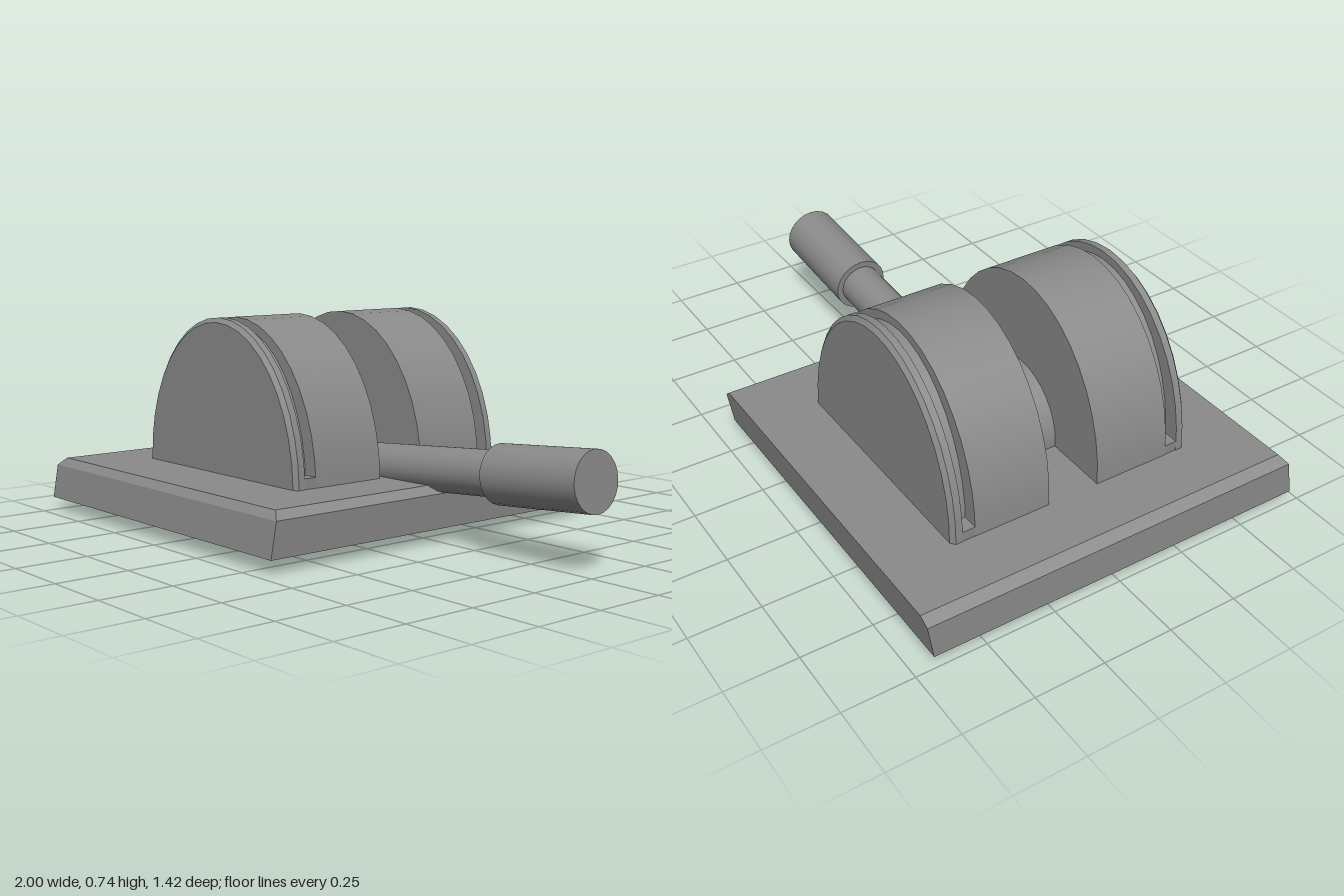
import * as THREE from 'three';
import { toCreasedNormals } from 'three/addons/utils/BufferGeometryUtils.js';

const CX = -0.323, CZ = -0.018, TOP = 0.195;

// Skins a list of equal-length point rings; closed joins each ring's end to its start
function loft(rings, closed) {
  const n = rings[0].length, index = [];
  for (let i = 0; i < rings.length - 1; i++) {
    for (let j = 0; j < (closed ? n : n - 1); j++) {
      const a = i * n + j, b = i * n + (j + 1) % n;
      index.push(a, a + n, b, b, a + n, b + n);
    }
  }
  const g = new THREE.BufferGeometry();
  g.setAttribute('position', new THREE.Float32BufferAttribute(rings.flat(2), 3));
  g.setIndex(index);
  return toCreasedNormals(g, 0.3);
}

export function createModel() {
  const group = new THREE.Group();
  const solid = new THREE.MeshStandardMaterial({ color: 0x8a8a8a });
  const shell = new THREE.MeshStandardMaterial({ color: 0x8a8a8a, side: THREE.DoubleSide });
  const add = (name, geometry, material = solid, parent = group) => {
    const mesh = new THREE.Mesh(geometry, material);
    mesh.name = name;
    parent.add(mesh);
    return mesh;
  };

  // Base skirt: slanted walls, bevelled above on front and sides, open underneath
  const rect = (x0, x1, z0, z1, y) => [[x0, y, z1], [x0, y, z0], [x1, y, z0], [x1, y, z1]];
  add('baseSkirt', loft([
    rect(-0.962, 0.317, -0.709, 0.67, TOP),
    rect(-0.995, 0.35, -0.705, 0.692, 0.168),
    rect(-1, 0.345, -0.686, 0.71, 0.048),
  ], true), shell);

  // Base top sheet with an opening below each drum
  const outline = (Path, x0, x1, z0, z1) => new Path([
    [x0, -z1], [x1, -z1], [x1, -z0], [x0, -z0],
  ].map(([x, y]) => new THREE.Vector2(x, y)));
  const sheet = outline(THREE.Shape, -0.962, 0.317, -0.709, 0.67);
  sheet.holes.push(
    outline(THREE.Path, CX - 0.42, CX + 0.42, CZ + 0.1, CZ + 0.44),
    outline(THREE.Path, CX - 0.42, CX + 0.42, CZ - 0.44, CZ - 0.1),
  );
  add('baseTop', new THREE.ShapeGeometry(sheet).rotateX(-Math.PI / 2).translate(0, TOP, 0), shell);

  // Half-elliptical hollow drums: chamfered rim, groove, broad body ([z, rx, ry] sections)
  const sections = [
    [0.455, 0, 0], [0.455, 0.424, 0.524], [0.442, 0.44, 0.54], [0.417, 0.44, 0.54],
    [0.417, 0.385, 0.512], [0.372, 0.385, 0.512], [0.372, 0.44, 0.54],
    [0.094, 0.44, 0.54], [0.094, 0, 0],
  ];
  const drum = loft(sections.map(([z, rx, ry]) =>
    Array.from({ length: 21 }, (_, j) => {
      const t = j / 20 * Math.PI;
      return [rx * Math.cos(t), ry * Math.sin(t), z];
    })), false);
  for (const [side, turn] of [['front', 0], ['back', Math.PI]]) {
    const half = new THREE.Group();
    half.name = side + 'Drum';
    half.position.set(CX, TOP, CZ);
    half.rotation.y = turn;
    add(side + 'DrumShell', drum, shell, half);
    // Small stops at the two feet of the groove
    for (const s of [-1, 1]) {
      add('grooveStop', new THREE.BoxGeometry(0.055, 0.036, 0.045), solid, half)
        .position.set(s * 0.411, 0.018, 0.3945);
    }
    group.add(half);
  }

  // Pivot barrel between the drums
  add('pivotBarrel', new THREE.CylinderGeometry(0.21, 0.21, 0.42, 32).rotateX(Math.PI / 2))
    .position.set(CX, 0.21, CZ - 0.002);

  // Tilted lever: thin rod with a thicker grip
  const lever = new THREE.Group();
  lever.name = 'lever';
  lever.position.set(CX, 0.194, CZ - 0.003);
  lever.rotation.z = 0.075;
  const bar = (name, r, from, to) => add(name,
    new THREE.CylinderGeometry(r, r, to - from, 24).rotateZ(-Math.PI / 2).translate((from + to) / 2, 0, 0),
    solid, lever);
  bar('leverRod', 0.077, 0.12, 0.95);
  bar('leverGrip', 0.1, 0.923, 1.319);
  group.add(lever);

  return group;
}
